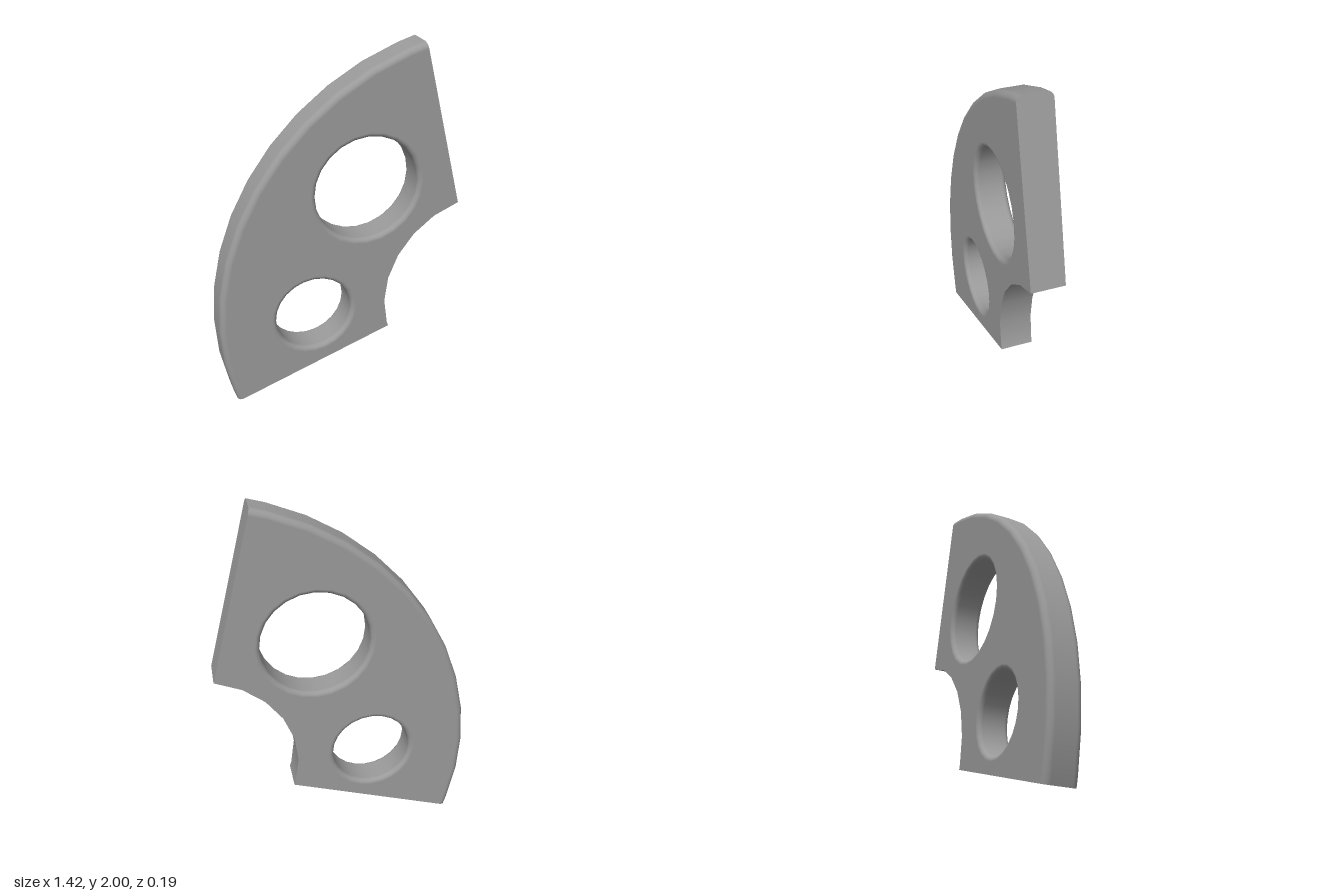
import * as THREE from 'three';

const CX = 0.855, CY = 0.486;          // centre of the ring sector
const R_OUT = 1.565, R_IN = 0.585;
const H = 0.0925;                      // half thickness
const F_RIM = 0.035, F_HOLE = 0.028;   // edge fillets
const START = 104.3, END = 198.1;      // sector limits in degrees
const HOLES = [
  { name: 'largeHole', x: 0.155, y: 1.223, r: 0.301 },
  { name: 'smallHole', x: -0.16, y: 0.49, r: 0.224 },
];
const rad = THREE.MathUtils.degToRad;

// Sector angles on multiples of a step counted from 180 degrees, plus both ends
function sectorAngles(step) {
  const list = [START];
  for (let k = -20; k <= 20; k++) {
    const a = 180 + k * step;
    if (a > START + 1 && a < END - 1) list.push(a);
  }
  return [...list, END].map(rad);
}

function fullCircle(n) {
  return Array.from({ length: n + 1 }, (_, i) => (i / n) * Math.PI * 2);
}

// Wall section from back to front; dir is +1 facing outward, -1 facing the axis
function wallProfile(r, dir, f) {
  if (f === 0) return [-H, H].map((z) => ({ r, z, nr: dir, nz: 0 }));
  const pts = [], n = 5;
  for (const side of [-1, 1]) {
    for (let i = 0; i <= n; i++) {
      const t = (side < 0 ? 1 - i / n : i / n) * Math.PI / 2;
      const c = Math.cos(t), s = Math.sin(t);
      pts.push({ r: r - dir * f * (1 - c), z: side * (H - f + f * s), nr: dir * c, nz: side * s });
    }
  }
  return pts;
}

// Sweeps a wall section around a centre through the given angles
function sweep(profile, cx, cy, angles, dir) {
  const pos = [], nor = [], idx = [], m = profile.length;
  angles.forEach((a, i) => {
    const c = Math.cos(a), s = Math.sin(a);
    for (const p of profile) {
      pos.push(cx + p.r * c, cy + p.r * s, p.z);
      nor.push(p.nr * c, p.nr * s, p.nz);
    }
    if (i === 0) return;
    for (let j = 0; j < m - 1; j++) {
      const a0 = (i - 1) * m + j, a1 = a0 + 1, b0 = a0 + m, b1 = b0 + 1;
      if (dir > 0) idx.push(a0, b0, b1, a0, b1, a1);
      else idx.push(a0, b1, b0, a0, a1, b1);
    }
  });
  const g = new THREE.BufferGeometry();
  g.setAttribute('position', new THREE.Float32BufferAttribute(pos, 3));
  g.setAttribute('normal', new THREE.Float32BufferAttribute(nor, 3));
  g.setIndex(idx);
  return g;
}

function arcPoints(cx, cy, r, angles) {
  return angles.map((a) => new THREE.Vector2(cx + r * Math.cos(a), cy + r * Math.sin(a)));
}

export function createModel() {
  const group = new THREE.Group();
  group.name = 'sectorPlate';
  const material = new THREE.MeshStandardMaterial({ color: 0x9a9a9a });
  const add = (name, geometry) => {
    const mesh = new THREE.Mesh(geometry, material);
    mesh.name = name;
    group.add(mesh);
  };
  const outer = sectorAngles(8), inner = sectorAngles(15), circle = fullCircle(24);

  // Flat front and back faces, inset by the fillets
  const face = new THREE.Shape([
    ...arcPoints(CX, CY, R_OUT - F_RIM, outer),
    ...arcPoints(CX, CY, R_IN, inner).reverse(),
  ]);
  for (const h of HOLES) {
    face.holes.push(new THREE.Path(arcPoints(h.x, h.y, h.r + F_HOLE, circle.slice(0, -1))));
  }
  const front = new THREE.ShapeGeometry(face);
  const back = front.clone();
  const index = Array.from(back.index.array);
  for (let i = 0; i < index.length; i += 3) [index[i], index[i + 1]] = [index[i + 1], index[i]];
  back.setIndex(index);
  back.computeVertexNormals();
  add('frontFace', front.translate(0, 0, H));
  add('backFace', back.translate(0, 0, -H));

  // Rounded outer rim and square inner rim
  const rim = wallProfile(R_OUT, 1, F_RIM);
  add('outerRim', sweep(rim, CX, CY, outer, 1));
  add('innerRim', sweep(wallProfile(R_IN, -1, 0), CX, CY, inner, -1));

  // Rounded hole walls
  for (const h of HOLES) {
    add(h.name, sweep(wallProfile(h.r, -1, F_HOLE), h.x, h.y, circle, -1));
  }

  // Straight radial ends, shaped by the rim section
  const section = new THREE.Shape([
    new THREE.Vector2(R_IN, H),
    new THREE.Vector2(R_IN, -H),
    ...rim.map((p) => new THREE.Vector2(p.r, p.z)),
  ]);
  for (const [name, deg, s] of [['upperEnd', START, 1], ['lowerEnd', END, -1]]) {
    const c = Math.cos(rad(deg)), sn = Math.sin(rad(deg));
    const m = new THREE.Matrix4().makeBasis(
      new THREE.Vector3(c, sn, 0),
      new THREE.Vector3(0, 0, s),
      new THREE.Vector3(s * sn, -s * c, 0),
    ).setPosition(CX, CY, 0);
    add(name, new THREE.ShapeGeometry(section).applyMatrix4(m));
  }
  return group;
}
